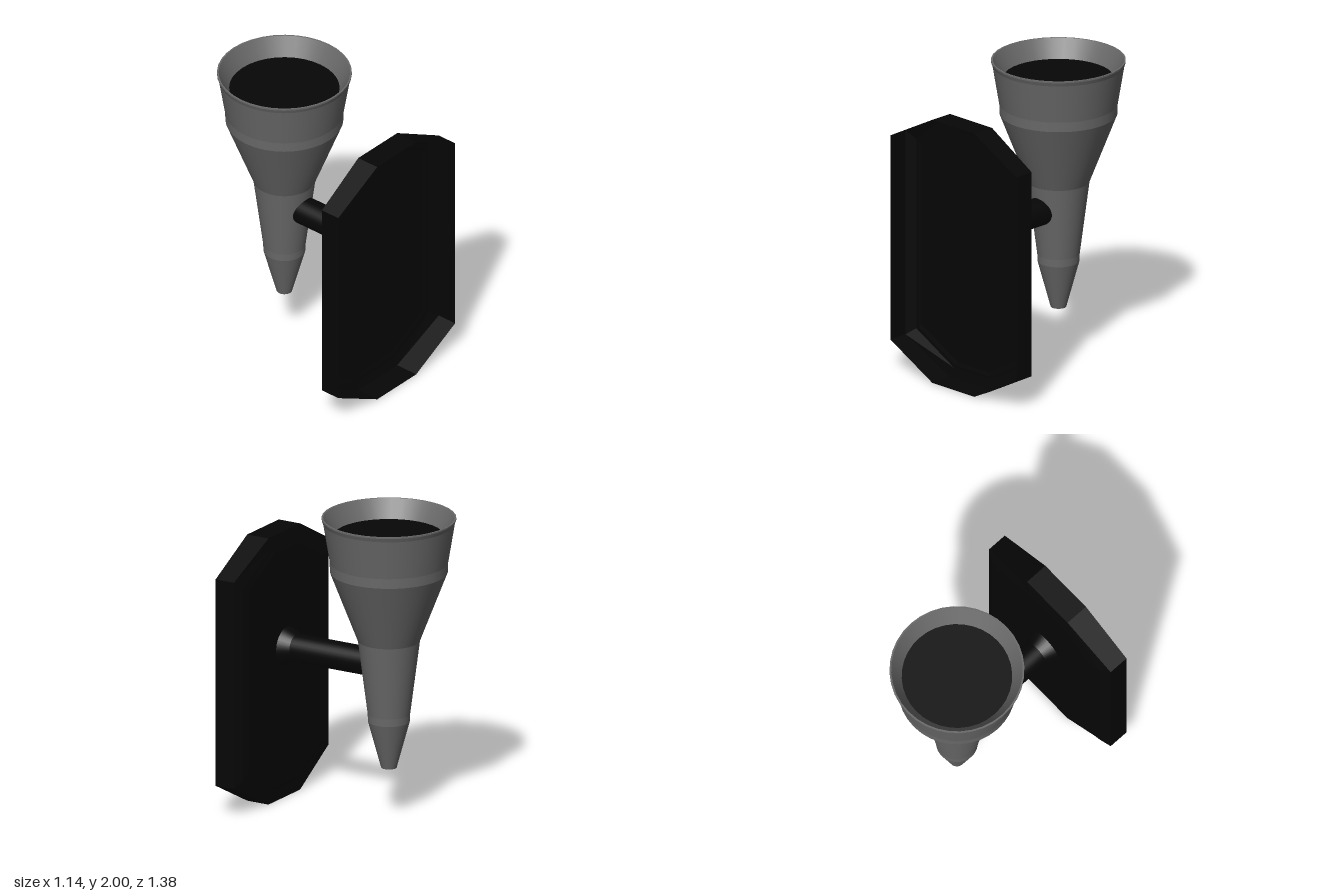
import * as THREE from 'three';

const CONE_Z = -0.26, PLATE_Y = 0.89, STEM_Y = 1.014;

// One eight-sided outline, inset by d; side and end corners may differ in depth
function octagon(d, zSide, zEnd = zSide) {
  const w = 0.57 - d, h = 0.89 - d, cx = 0.19 - d * 0.45, cy = 0.69 - d * 0.75;
  return [[w, -cy, zSide], [w, cy, zSide], [cx, h, zEnd], [-cx, h, zEnd],
    [-w, cy, zSide], [-w, -cy, zSide], [-cx, -h, zEnd], [cx, -h, zEnd]];
}

// Open skin from the front rim backwards, closed by a fan at the back
function tray(rings, zCentre) {
  const pos = [];
  const tri = (...pts) => pts.forEach((p) => pos.push(...p));
  const last = rings[rings.length - 1];
  for (let i = 0; i < 8; i++) {
    const j = (i + 1) % 8;
    tri([0, 0, zCentre], last[j], last[i]);
    for (let k = 0; k + 1 < rings.length; k++) {
      const a = rings[k], b = rings[k + 1];
      tri(a[i], b[i], b[j]);
      tri(a[i], b[j], a[j]);
    }
  }
  const g = new THREE.BufferGeometry();
  g.setAttribute('position', new THREE.Float32BufferAttribute(pos, 3));
  g.computeVertexNormals();
  return g;
}

export function createModel() {
  const model = new THREE.Group();
  const black = new THREE.MeshStandardMaterial({ color: 0x060606, side: THREE.DoubleSide });
  black.name = 'black';
  const grey = new THREE.MeshStandardMaterial({ color: 0x696969 });
  grey.name = 'grey metal';
  const add = (parent, name, geometry, material, x = 0, y = 0, z = 0) => {
    const m = new THREE.Mesh(geometry, material);
    m.name = name;
    m.position.set(x, y, z);
    parent.add(m);
    return m;
  };

  // Hollow mounting plate: thin shell open to the front, stepped and bevelled back
  add(model, 'mountingPlate', tray([
    octagon(0, 0.688), octagon(0, 0.55, 0.528), octagon(0.065, 0.518),
    octagon(0.085, 0.517), octagon(0.11, 0.511),
  ], 0.508), black, 0, PLATE_Y, 0);

  // Stem along z; the end of its flared foot shows inside the plate
  const stem = new THREE.Group();
  stem.name = 'stem';
  add(stem, 'stemRod', new THREE.CylinderGeometry(0.092, 0.092, 0.6, 32), black,
    0, STEM_Y, 0.14).rotation.x = Math.PI / 2;
  add(stem, 'stemFoot', new THREE.CylinderGeometry(0.132, 0.092, 0.082, 32), black,
    0, STEM_Y, 0.474).rotation.x = Math.PI / 2;
  model.add(stem);

  // Cone body: stacked tapered bands, [radius, height], with crisp seams
  const cone = new THREE.Group();
  cone.name = 'cone';
  cone.position.z = CONE_Z;
  const profile = [[0.05, 0.33], [0.134, 0.64], [0.136, 0.69], [0.199, 1.18],
    [0.377, 1.64], [0.379, 1.705], [0.422, 1.965], [0.431, 1.99], [0.431, 2]];
  for (let i = 0; i + 1 < profile.length; i++) {
    const [r0, y0] = profile[i], [r1, y1] = profile[i + 1];
    add(cone, 'coneBand' + (i + 1),
      new THREE.CylinderGeometry(r1, r0, y1 - y0, 36, 1, true), grey, 0, (y0 + y1) / 2, 0);
  }

  // Lip and sloping inner wall
  add(cone, 'lip', new THREE.RingGeometry(0.42, 0.431, 36), grey, 0, 2, 0).rotation.x = -Math.PI / 2;
  const wall = [[0.42, 2], [0.353, 1.88]].map(([r, y]) => new THREE.Vector2(r, y));
  add(cone, 'innerWall', new THREE.LatheGeometry(wall, 36), grey);

  // Dark discs closing the mouth and the tip
  add(cone, 'mouthDisc', new THREE.CircleGeometry(0.353, 36), black, 0, 1.88, 0).rotation.x = -Math.PI / 2;
  add(cone, 'tipDisc', new THREE.CircleGeometry(0.05, 36), black, 0, 0.33, 0).rotation.x = Math.PI / 2;
  model.add(cone);

  return model;
}
